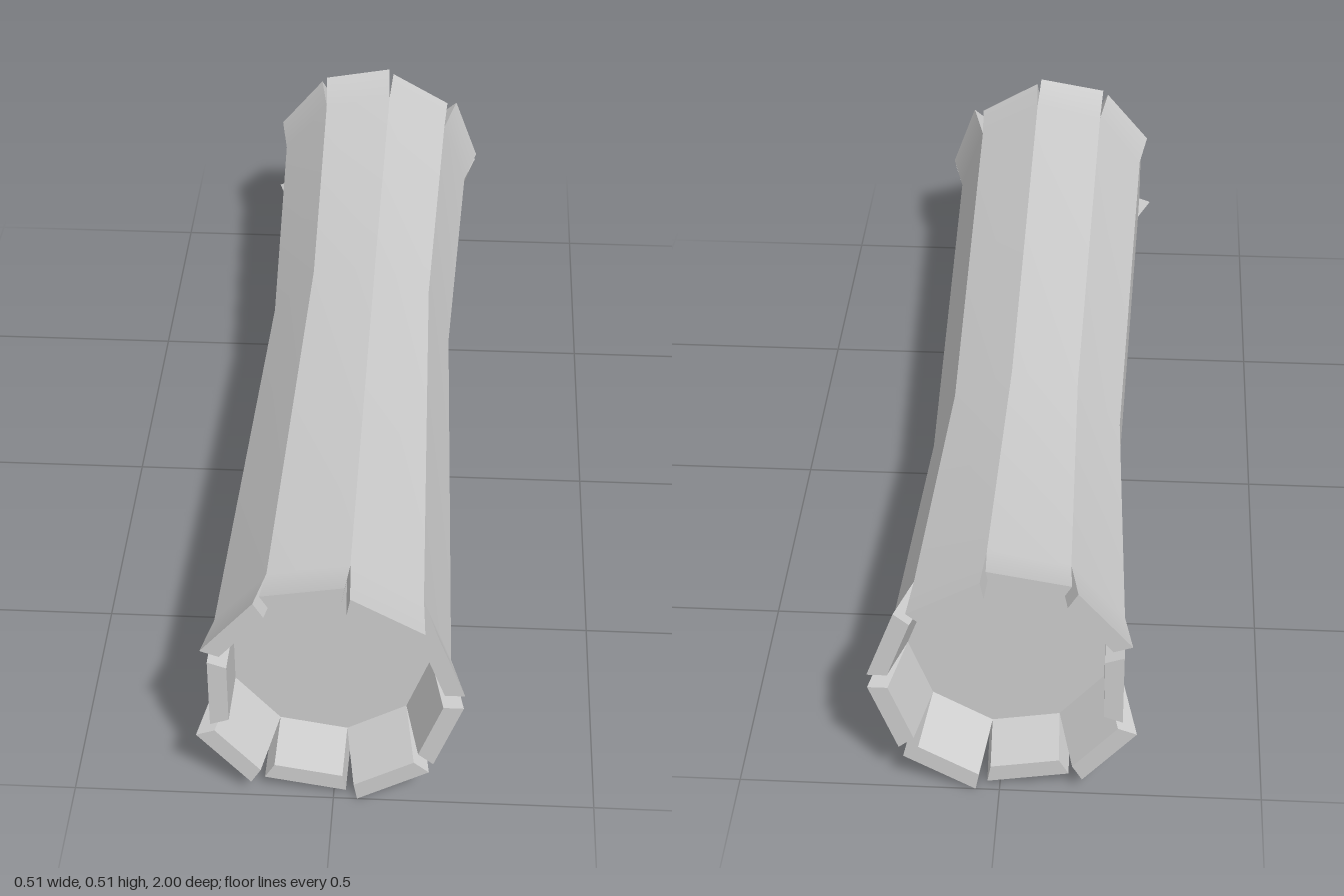
import * as THREE from 'three';
import { mergeGeometries } from 'three/addons/utils/BufferGeometryUtils.js';

const SIDES = 9, STEP = (Math.PI * 2) / SIDES;
const CX = -0.013, CAP_Z = 0.88, R_IN = 0.193, R_OUT = 0.231;
const CENTRE_Y = 0.262;

// outward splay and end position of each bark stave, counter-clockwise from +x
const FLARE = [0.03, 0.011, 0.028, 0.022, 0.002, 0.038, 0.02, 0.037, 0.028];
const END_Z = [0.988, 0.985, 0.975, 0.98, 0.995, 1, 0.99, 1, 1];

const polar = (r, angle, cy) => [CX + r * Math.cos(angle), cy + r * Math.sin(angle)];

// four-cornered section of stave k: outer edge, then inner edge
function section(k, z, rOut, rIn, cy, flare) {
  const a = k * STEP, b = a + STEP, mid = a + STEP / 2;
  return [[rOut, a], [rOut, b], [rIn, b], [rIn, a]].map(([r, t]) => {
    const [x, y] = polar(r, t, cy);
    return [x + flare * Math.cos(mid), y + flare * Math.sin(mid), z];
  });
}

function surface(points, index) {
  const g = new THREE.BufferGeometry();
  g.setAttribute('position', new THREE.Float32BufferAttribute(points.flat(), 3));
  g.setIndex(index);
  g.computeVertexNormals();
  return g;
}

// strip between section corners i and j, running through the rings
function strip(rings, i, j) {
  const points = rings.flatMap((r) => [r[i], r[j]]);
  const index = [];
  for (let n = 0; n < rings.length - 1; n++) {
    const p = n * 2;
    index.push(p, p + 1, p + 2, p + 1, p + 3, p + 2);
  }
  return surface(points, index);
}

function staveGeometry(k) {
  const end = END_Z[k];
  const rings = [
    section(k, -end, R_OUT, R_IN, CENTRE_Y, FLARE[k]),
    section(k, -CAP_Z, R_OUT, R_IN, CENTRE_Y, 0),
    section(k, -0.21, 0.205, 0.17, 0.235, 0),
    section(k, CAP_Z, R_OUT, R_IN, CENTRE_Y, 0),
    section(k, end, R_OUT, R_IN, CENTRE_Y, FLARE[k]),
  ];
  const parts = [strip(rings, 0, 1)];
  // inner face and both flanks of the splayed tips
  for (const tip of [rings.slice(0, 2), rings.slice(3)]) {
    for (let i = 1; i < 4; i++) parts.push(strip(tip, i, (i + 1) % 4));
  }
  // end faces
  parts.push(surface(rings[4], [0, 1, 2, 0, 2, 3]));
  parts.push(surface(rings[0], [0, 2, 1, 0, 3, 2]));
  return mergeGeometries(parts);
}

export function createModel() {
  const log = new THREE.Group();
  log.name = 'log';
  const material = new THREE.MeshStandardMaterial({ color: 0xcccccc, side: THREE.DoubleSide });

  // bark staves forming the waisted trunk
  for (let k = 0; k < SIDES; k++) {
    const stave = new THREE.Mesh(staveGeometry(k), material);
    stave.name = `barkStave${k + 1}`;
    log.add(stave);
  }

  // recessed cut wood at both ends
  const outline = Array.from({ length: SIDES }, (_, k) =>
    new THREE.Vector2(...polar(R_IN, k * STEP, CENTRE_Y)));
  for (const s of [1, -1]) {
    const geometry = new THREE.ShapeGeometry(new THREE.Shape(outline));
    if (s < 0) {
      // turn the back face outward
      geometry.index.array.reverse();
      geometry.computeVertexNormals();
    }
    const face = new THREE.Mesh(geometry, material);
    face.position.z = s * CAP_Z;
    face.name = s > 0 ? 'frontCutFace' : 'backCutFace';
    log.add(face);
  }
  return log;
}
